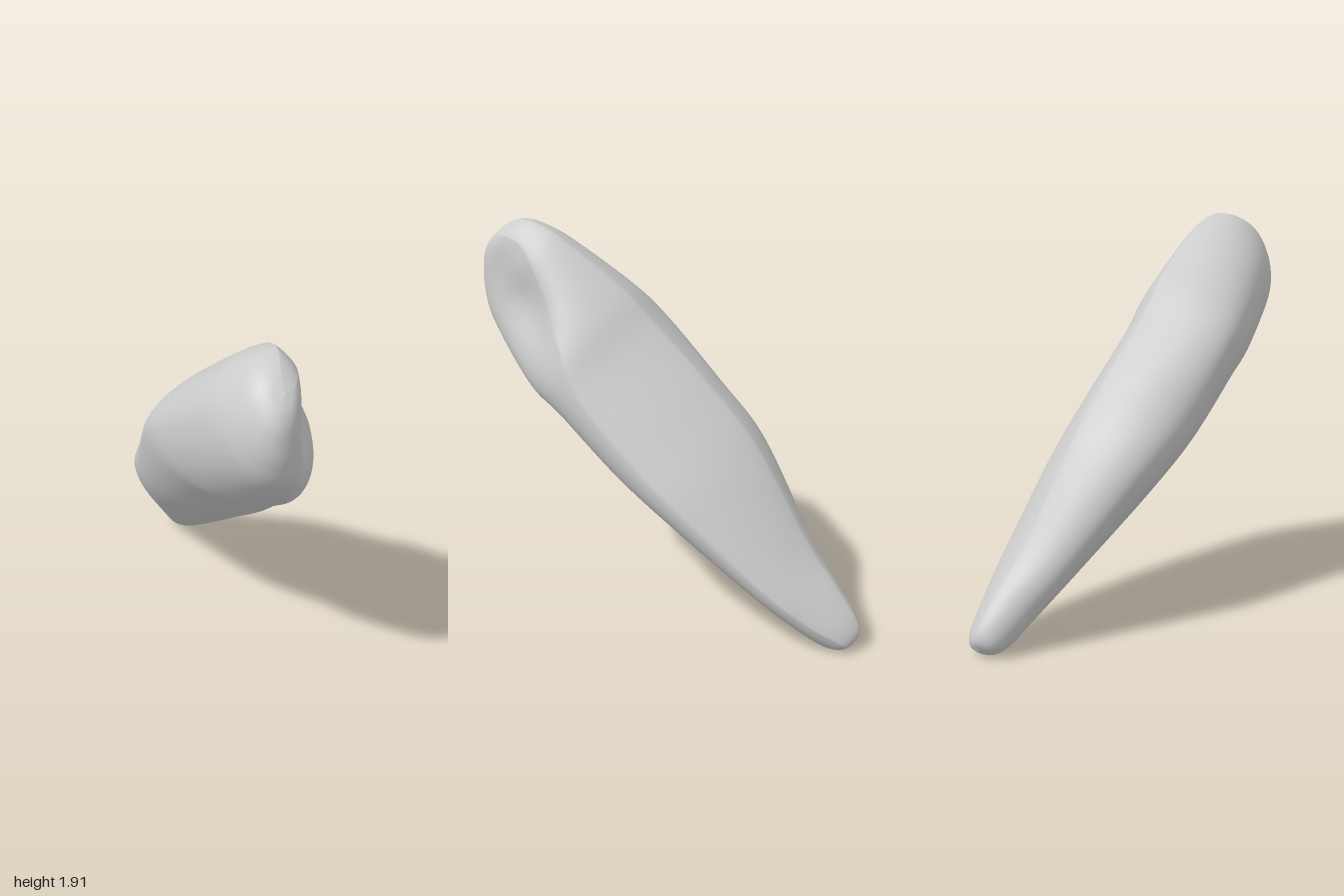
import * as THREE from 'three';

// Section shrunk to a single point, closing an end
const tip = (s, x, v) => [s, x, v, x, v, x, v, x, v];

// Cross-sections along the tooth axis, from root tip to crown edge. Each row:
// axis position, then (x, v) of the leftmost, top, rightmost and bottom points.
const SECTIONS = [
  tip(-0.70, 0.18, 0.68),
  [-0.675, 0.10, 0.68, 0.17, 0.745, 0.245, 0.675, 0.18, 0.62],
  [-0.60, 0.055, 0.68, 0.16, 0.78, 0.285, 0.67, 0.19, 0.57],
  [-0.45, 0.00, 0.69, 0.14, 0.805, 0.328, 0.645, 0.20, 0.543],
  [-0.20, -0.10, 0.72, 0.10, 0.84, 0.372, 0.625, 0.20, 0.51],
  [0.29, -0.29, 0.79, 0.04, 0.965, 0.40, 0.605, 0.18, 0.45],
  [0.64, -0.355, 0.765, 0.02, 0.997, 0.385, 0.59, 0.16, 0.407],
  [1.03, -0.40, 0.80, 0.00, 1.003, 0.345, 0.605, 0.12, 0.385],
  [1.26, -0.378, 0.77, 0.01, 1.01, 0.295, 0.68, 0.07, 0.34],
  [1.60, -0.30, 0.70, 0.02, 0.97, 0.165, 0.79, -0.05, 0.355],
  [1.75, -0.245, 0.66, 0.01, 0.93, 0.095, 0.81, -0.08, 0.415],
  [1.85, -0.18, 0.67, -0.01, 0.865, 0.05, 0.76, -0.09, 0.51],
  [1.895, -0.12, 0.68, -0.04, 0.77, 0.005, 0.70, -0.08, 0.59],
  tip(1.91, -0.05, 0.68),
];

// Smooth curve through one of the four extreme points of every section
function rail(column) {
  const points = SECTIONS.map(r => new THREE.Vector3(r[column], r[column + 1], r[0]));
  return new THREE.CatmullRomCurve3(points, false, 'catmullrom', 0.5);
}

function toothGeometry(rings = 128, sides = 72) {
  const [left, top, right, bottom] = [1, 3, 5, 7].map(rail);
  const positions = [], index = [];
  for (let i = 0; i <= rings; i++) {
    const [L, T, R, B] = [left, top, right, bottom].map(c => c.getPoint(i / rings));
    const s = T.z;
    for (let j = 0; j < sides; j++) {
      // Elliptic arcs joining top, right, bottom and left; top to right is nearly flat
      const angle = j / sides * Math.PI * 2;
      const sin = Math.sin(angle), cos = Math.cos(angle);
      const side = sin >= 0 ? R : L, cap = cos >= 0 ? T : B;
      const power = sin >= 0 && cos >= 0 ? 1.6 : 1;
      let x = cap.x + (side.x - cap.x) * Math.abs(sin) ** power;
      const v = side.y + (cap.y - side.y) * Math.abs(cos) ** power;
      // Shallow hollow in the inner face of the crown
      if (sin > 0) {
        x -= 0.085 * sin * Math.exp(-(((s - 1.53) / 0.2) ** 2) - ((v - 0.61) / 0.16) ** 2);
      }
      // Lean the axis from the low back to the high front
      positions.push(x, (0.68 * s + 0.73 * v) / 0.9953, (0.73 * s - 0.68 * v) / 0.9953);
    }
  }
  for (let i = 0; i < rings; i++) {
    for (let j = 0; j < sides; j++) {
      const k = (j + 1) % sides;
      const a = i * sides + j, b = a + sides, c = i * sides + k, d = c + sides;
      index.push(a, b, c, c, b, d);
    }
  }
  const geometry = new THREE.BufferGeometry();
  geometry.setAttribute('position', new THREE.Float32BufferAttribute(positions, 3));
  geometry.setIndex(index);
  geometry.computeVertexNormals();
  return geometry;
}

export function createModel() {
  const group = new THREE.Group();
  group.name = 'tooth';
  const enamel = new THREE.MeshStandardMaterial({ color: 0xcccccc });
  enamel.name = 'paleGrey';
  const tooth = new THREE.Mesh(toothGeometry(), enamel);
  tooth.name = 'crownAndRoot';
  group.add(tooth);

  // Stand on the ground, centred
  const box = new THREE.Box3().setFromObject(group);
  const centre = box.getCenter(new THREE.Vector3());
  tooth.position.set(-centre.x, -box.min.y, -centre.z);
  return group;
}
